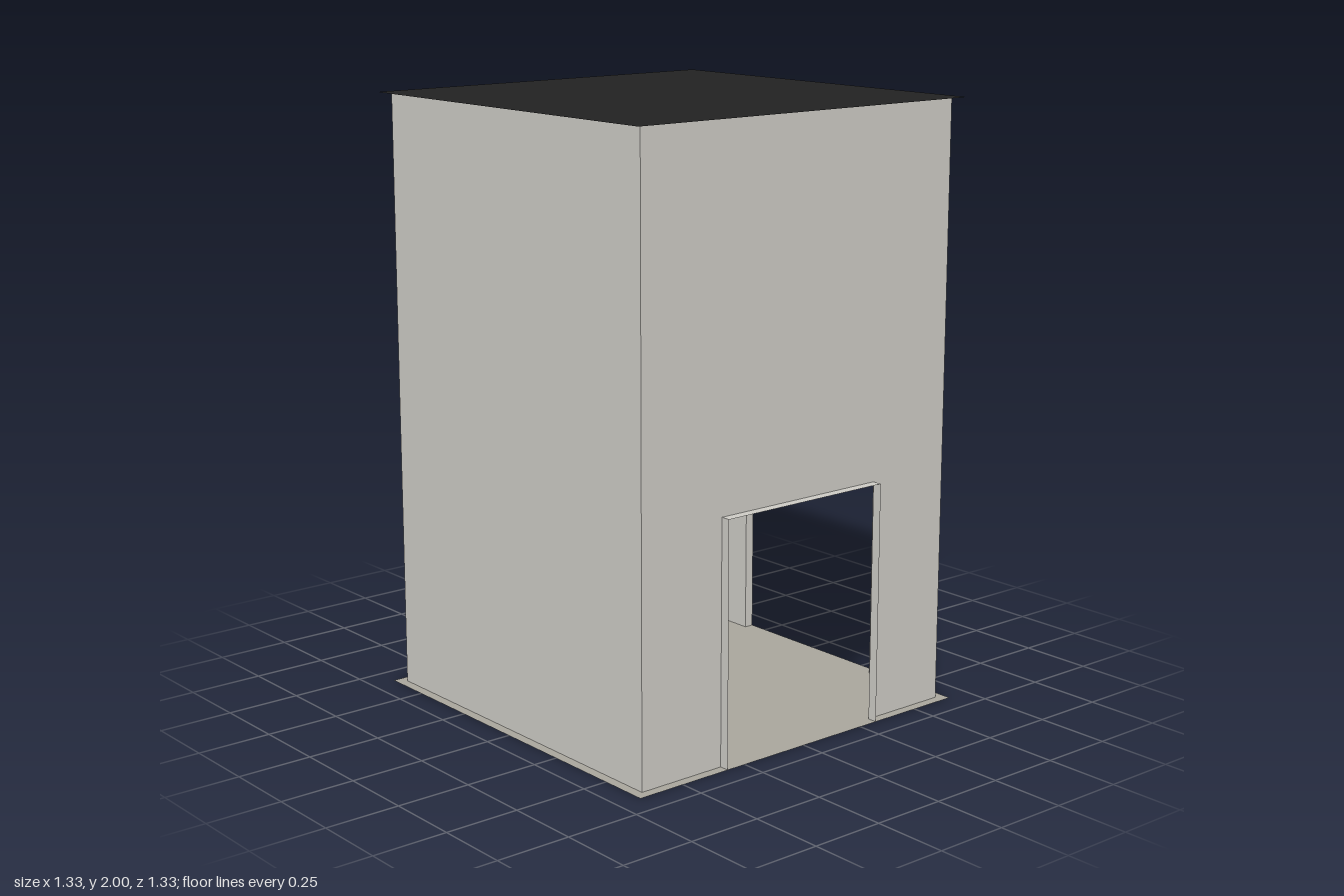
import * as THREE from 'three';

const HEIGHT = 2, HALF = 0.633, SLAB = 0.666, DOOR_HALF = 0.32, DOOR_HEIGHT = 0.8;

const material = (name, color) => {
  const m = new THREE.MeshStandardMaterial({ color, side: THREE.DoubleSide });
  m.name = name;
  return m;
};

export function createModel() {
  const plaster = material('pale plaster', 0xcccac4);
  const concrete = material('warm concrete', 0xa8a59c);
  const roofing = material('black roofing', 0x222222);
  const model = new THREE.Group();
  model.name = 'towerRoom';

  const add = (parent, name, geometry, mat) => {
    const mesh = new THREE.Mesh(geometry, mat);
    mesh.name = name;
    parent.add(mesh);
    return mesh;
  };

  // Thin wall sheet, optionally notched by a doorway
  const wallGeometry = (hasDoor) => {
    const points = [[-HALF, 0]];
    if (hasDoor) {
      points.push([-DOOR_HALF, 0], [-DOOR_HALF, DOOR_HEIGHT], [DOOR_HALF, DOOR_HEIGHT], [DOOR_HALF, 0]);
    }
    points.push([HALF, 0], [HALF, HEIGHT], [-HALF, HEIGHT]);
    return new THREE.ShapeGeometry(new THREE.Shape(points.map(([x, y]) => new THREE.Vector2(x, y))));
  };

  // Each side faces +z locally and is turned into place
  const addSide = (name, angle, hasDoor) => {
    const side = new THREE.Group();
    side.name = name;
    side.rotation.y = angle;
    const wall = add(side, name + 'Wall', wallGeometry(hasDoor), plaster);
    wall.position.z = HALF;

    // Door lining projects outwards from the wall
    if (hasDoor) {
      const depth = SLAB - HALF, z = (SLAB + HALF) / 2;
      for (const s of [-1, 1]) {
        const jamb = add(side, 'doorJamb', new THREE.PlaneGeometry(depth, DOOR_HEIGHT), plaster);
        jamb.position.set(s * DOOR_HALF, DOOR_HEIGHT / 2, z);
        jamb.rotation.y = s * Math.PI / 2;
      }
      const lintel = add(side, 'doorLintel', new THREE.PlaneGeometry(2 * DOOR_HALF, depth), plaster);
      lintel.position.set(0, DOOR_HEIGHT, z);
      lintel.rotation.x = -Math.PI / 2;
    }
    model.add(side);
  };
  addSide('front', 0, false);
  addSide('right', Math.PI / 2, true);
  addSide('back', Math.PI, true);
  addSide('left', -Math.PI / 2, false);

  // Floor and overhanging flat roof
  for (const [name, y, mat] of [['floor', 0, concrete], ['roof', HEIGHT, roofing]]) {
    const sheet = add(model, name, new THREE.PlaneGeometry(2 * SLAB, 2 * SLAB), mat);
    sheet.rotation.x = -Math.PI / 2;
    sheet.position.y = y;
  }
  return model;
}
